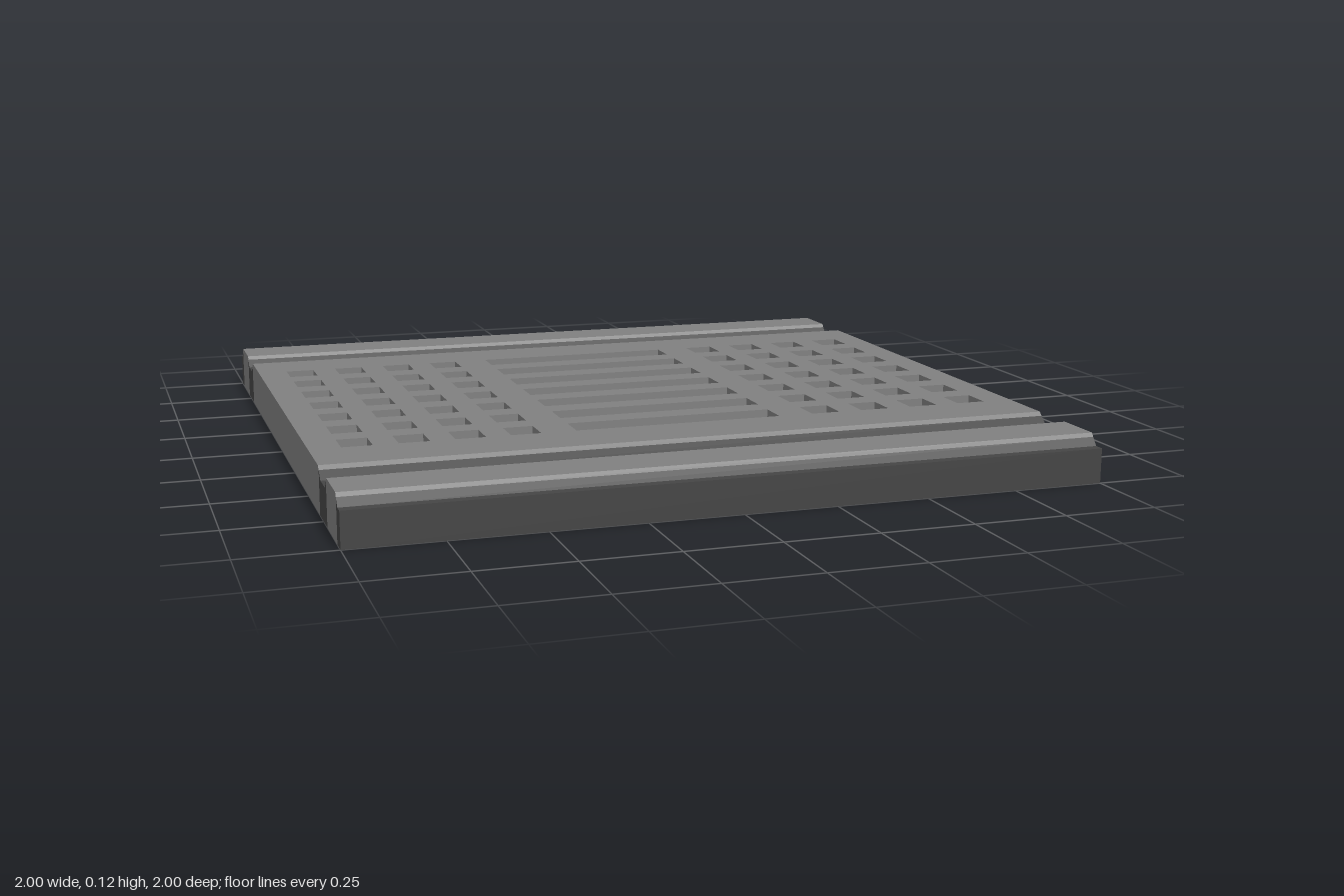
import * as THREE from 'three';

const light = new THREE.MeshStandardMaterial({ color: 0x808080, flatShading: true });
const dark = new THREE.MeshStandardMaterial({ color: 0x454545, flatShading: true });

const HEIGHT = 0.125, FLOOR = 0.09, EDGE = 0.115, RIM = 0.6;

function rectangle(target, cx, cy, w, h) {
  target.moveTo(cx - w / 2, cy - h / 2);
  target.lineTo(cx + w / 2, cy - h / 2);
  target.lineTo(cx + w / 2, cy + h / 2);
  target.lineTo(cx - w / 2, cy + h / 2);
  target.closePath();
  return target;
}

// Extrudes a (z, y) profile over the full width of the tile.
function rail(name, points, material) {
  const shape = new THREE.Shape(points.map(([z, y]) => new THREE.Vector2(-z, y)));
  const geometry = new THREE.ExtrudeGeometry(shape, { depth: 2, bevelEnabled: false });
  geometry.translate(0, 0, -1).rotateY(Math.PI / 2);
  const mesh = new THREE.Mesh(geometry, material);
  mesh.name = name;
  return mesh;
}

// Rails, grooves and lips along one edge of the tile.
function edgeTrim(name) {
  const group = new THREE.Group();
  group.name = name;
  group.add(
    rail('panelRim', [[RIM, 0], [0.69, 0], [0.69, EDGE], [0.68, HEIGHT], [RIM, HEIGHT]], light),
    rail('groove', [[0.69, 0], [0.805, 0], [0.805, EDGE], [0.785, 0.094], [0.715, 0.094], [0.69, EDGE]], dark),
    rail('raisedStrip', [[0.805, 0], [0.955, 0], [0.955, EDGE], [0.948, HEIGHT], [0.812, HEIGHT], [0.805, EDGE]], light),
    rail('outerLip', [[0.955, 0], [1, 0], [1, 0.094], [0.972, 0.094], [0.955, EDGE]], dark)
  );
  return group;
}

export function createModel() {
  const model = new THREE.Group();
  model.name = 'floorTile';

  // Solid base under the perforated panel
  const base = new THREE.Mesh(new THREE.BoxGeometry(2, FLOOR - 0.002, 2 * RIM), light);
  base.position.y = (FLOOR - 0.002) / 2;
  base.name = 'panelBase';
  model.add(base);

  // Dark floor seen through the openings
  const floor = new THREE.Mesh(new THREE.PlaneGeometry(1.9, 1.14).rotateX(-Math.PI / 2), dark);
  floor.position.y = FLOOR;
  floor.name = 'openingFloor';
  model.add(floor);

  // Top panel with seven rows of square openings and a long centre slot
  const panel = rectangle(new THREE.Shape(), 0, 0, 2, 2 * RIM);
  for (let row = -3; row <= 3; row++) {
    const y = 0.005 + row * 0.158;
    panel.holes.push(rectangle(new THREE.Path(), 0, y, 0.58, 0.088));
    for (const side of [-1, 1]) {
      for (let i = 0; i < 4; i++) {
        panel.holes.push(rectangle(new THREE.Path(), side * (0.428 + i * 0.149), y, 0.082, 0.088));
      }
    }
  }
  const panelGeometry = new THREE.ExtrudeGeometry(panel, { depth: HEIGHT - FLOOR + 0.002, bevelEnabled: false });
  panelGeometry.rotateX(-Math.PI / 2).translate(0, FLOOR - 0.002, 0);
  const grille = new THREE.Mesh(panelGeometry, light);
  grille.name = 'perforatedPanel';
  model.add(grille);

  // Matching trim on the front and back edges
  const back = edgeTrim('backTrim');
  back.rotation.y = Math.PI;
  model.add(edgeTrim('frontTrim'), back);

  return model;
}
